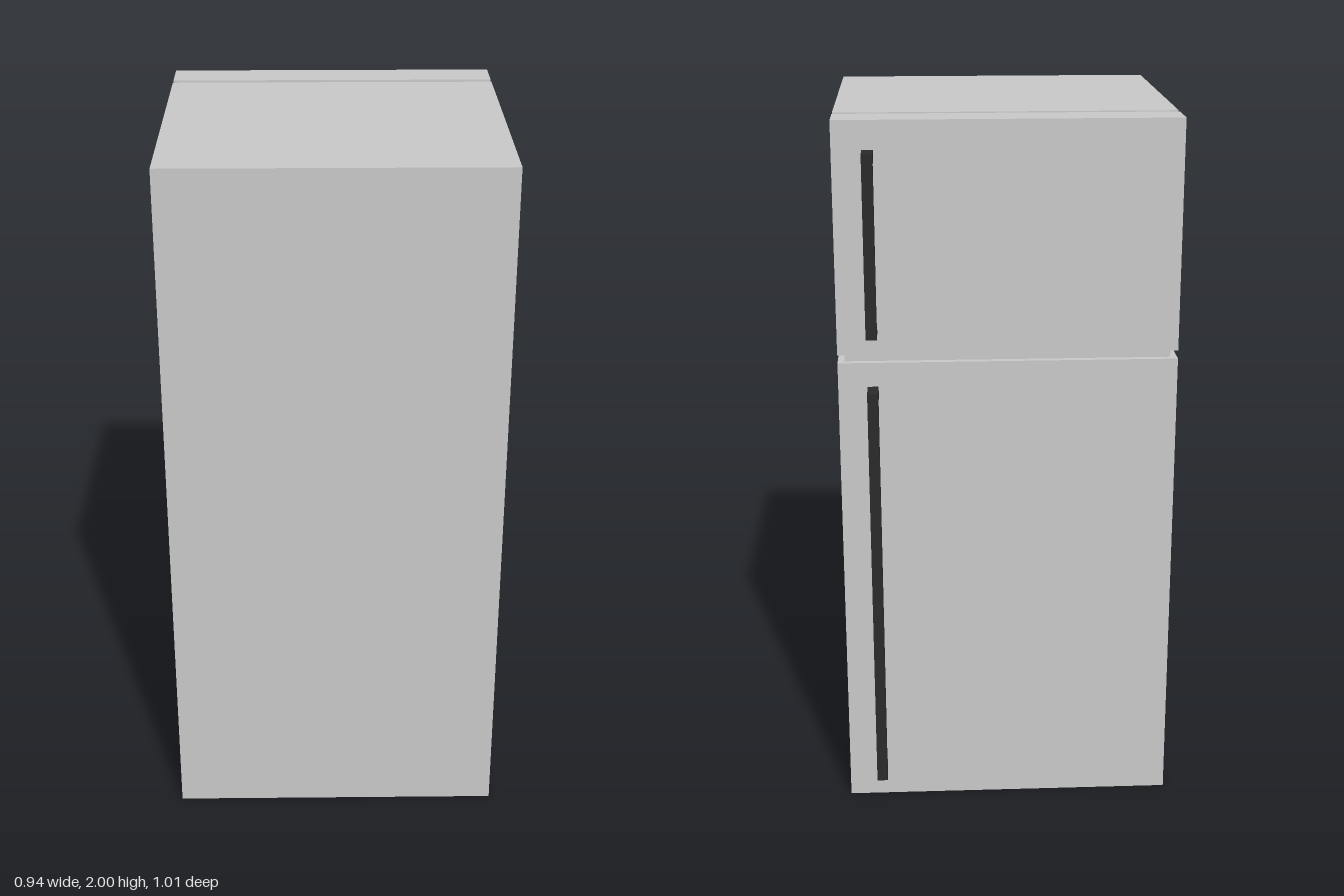
import * as THREE from 'three';

const grey = new THREE.MeshStandardMaterial({ color: 0xcccccc });
const dark = new THREE.MeshStandardMaterial({ color: 0x2b2b2b });

// Box given by its [min, max] range on each axis
function block(name, [x0, x1], [y0, y1], [z0, z1], material = grey) {
  const mesh = new THREE.Mesh(new THREE.BoxGeometry(x1 - x0, y1 - y0, z1 - z0), material);
  mesh.position.set((x0 + x1) / 2, (y0 + y1) / 2, (z0 + z1) / 2);
  mesh.name = name;
  return mesh;
}

// Upright bar with a short mount at each end
function handle(name, y0, y1) {
  const group = new THREE.Group();
  group.name = name;
  const x = [0.357, 0.387], t = 0.03, mountZ = [-0.478, -0.437];
  group.add(
    block('handleBar', x, [y0, y1], [-0.507, -0.478], dark),
    block('lowerMount', x, [y0, y0 + t], mountZ, dark),
    block('upperMount', x, [y1 - t, y1], mountZ, dark)
  );
  return group;
}

export function createModel() {
  const fridge = new THREE.Group();
  fridge.name = 'refrigerator';

  const wide = [-0.468, 0.468], inset = [-0.449, 0.449];
  const doorZ = [-0.43, -0.317];

  // Cabinet and the recessed seal behind the doors
  fridge.add(block('cabinet', wide, [0, 2], [-0.293, 0.507]));
  fridge.add(block('doorSeal', inset, [0.04, 1.963], [-0.317, -0.293]));

  // Doors with the recessed strip between them
  fridge.add(block('fridgeDoor', wide, [0, 1.34], doorZ));
  fridge.add(block('freezerDoor', wide, [1.363, 2], doorZ));
  fridge.add(block('doorDivider', inset, [1.34, 1.363], [-0.411, -0.317]));

  // Handles
  fridge.add(handle('fridgeHandle', 0.087, 1.274));
  fridge.add(handle('freezerHandle', 1.425, 1.923));

  return fridge;
}
